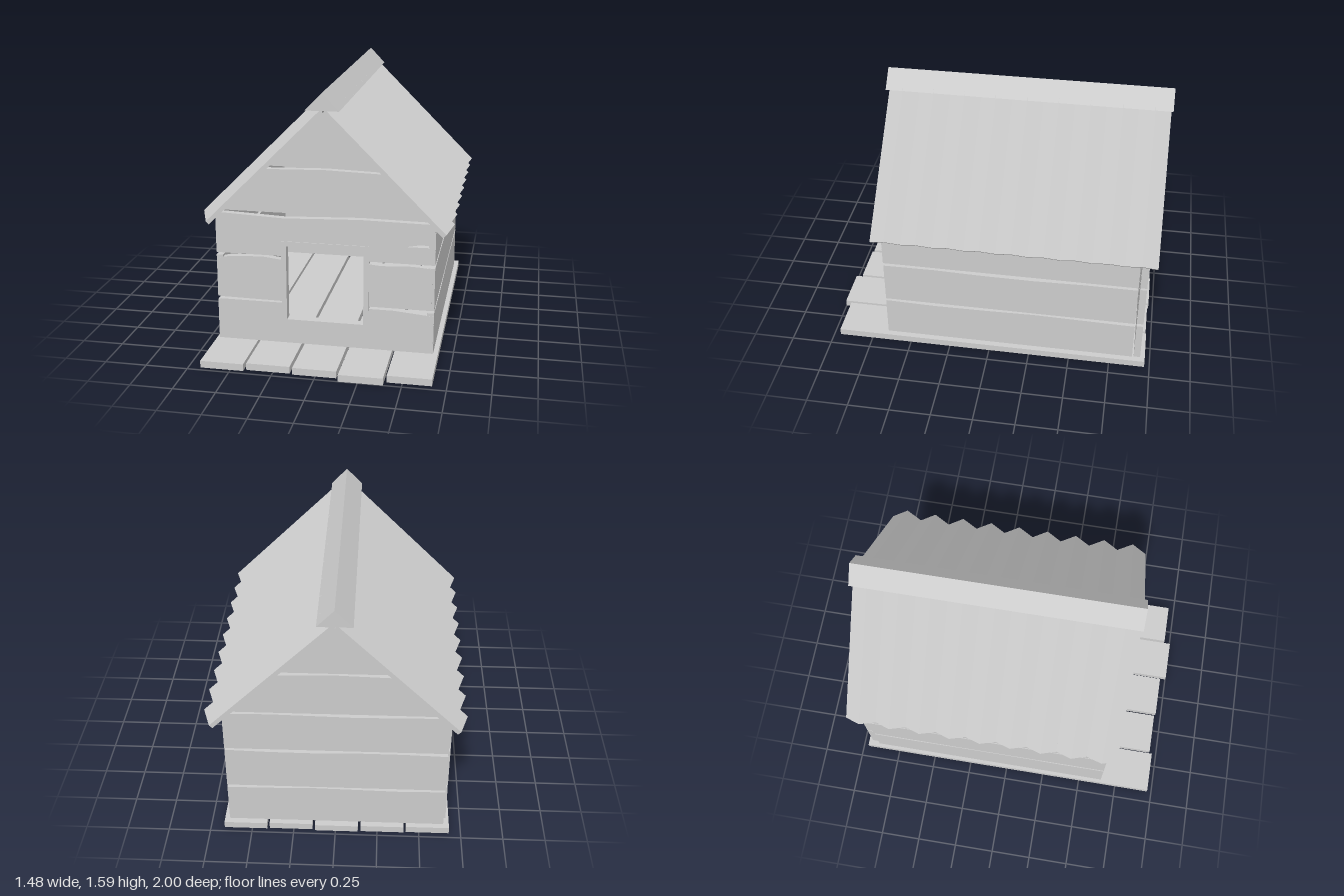
import * as THREE from 'three';

const material = new THREE.MeshStandardMaterial({ color: 0xcccccc, flatShading: true, side: THREE.DoubleSide });
const WALL = 0.04;
const ROWS = [[0.05, 0.305], [0.32, 0.582], [0.6, 0.85]]; // plank heights of the straight walls
const RIDGE = 1.475; // height where the gable slopes meet
const DOOR = { x0: -0.25, x1: 0.24, y0: 0.185, y1: 0.68 };

const shapeOf = (pts) => new THREE.Shape(pts.map(([x, y]) => new THREE.Vector2(x, y)));

function extrude(name, shape, depth) {
  const mesh = new THREE.Mesh(new THREE.ExtrudeGeometry(shape, { depth, bevelEnabled: false }), material);
  mesh.name = name;
  return mesh;
}

// Uneven, hand-sawn edge running from x0 to x1 around height y
function sawnEdge(x0, x1, y, seed) {
  const pts = [];
  for (let i = 0; i <= 5; i++) {
    const x = x0 + ((x1 - x0) * i) / 5;
    pts.push([x, y + 0.005 * Math.sin(seed * 2.3 + i * 1.7)]);
  }
  return pts;
}

function plankShape(x0, x1, y0, y1, seed) {
  return shapeOf([[x0, y0], [x1, y0], ...sawnEdge(x0, x1, y1, seed).reverse()]);
}

// The two planks that fill the gable above the straight wall
function addGable(wall) {
  const lower = [[RIDGE - 0.867, 0.867], [RIDGE - 1.13, 1.125], [0, 1.135], [1.13 - RIDGE, 1.125], [0.867 - RIDGE, 0.867]];
  const upper = [[RIDGE - 1.146, 1.146], [0, RIDGE], [1.146 - RIDGE, 1.146]];
  wall.add(extrude('gablePlank', shapeOf(lower), WALL), extrude('gableTop', shapeOf(upper), WALL));
}

function makeBackWall() {
  const wall = new THREE.Group();
  wall.name = 'backWall';
  ROWS.forEach(([y0, y1], i) => wall.add(extrude('backPlank', plankShape(-0.645, 0.637, y0, y1, i + 4), WALL)));
  addGable(wall);
  wall.position.z = -0.94;
  return wall;
}

function makeFrontWall() {
  const wall = new THREE.Group();
  wall.name = 'frontWall';
  const L = -0.645, R = 0.637, { x0, x1, y0, y1 } = DOOR;
  const [low, mid, high] = ROWS;
  // bottom plank, cut out from above
  wall.add(extrude('frontPlankLow', shapeOf([
    [L, low[0]], [R, low[0]], [R, 0.285], [0.4, low[1]], [x1, low[1]], [x1, y0], [x0, y0], [x0, low[1]], [L, low[1]],
  ]), WALL));
  // middle plank, in two pieces
  wall.add(extrude('frontPlankLeft', plankShape(x1, R - 0.012, ...mid, 1), WALL));
  wall.add(extrude('frontPlankRight', shapeOf([
    [L, mid[0]], [x0, mid[0] - 0.004], [x0, 0.575], [-0.38, 0.59], [-0.58, 0.58], [L, 0.565],
  ]), WALL));
  // top plank, cut out from below, with a split at one end
  wall.add(extrude('frontPlankHigh', shapeOf([
    [L, high[0]], [x0, high[0]], [x0, y1], [x1, y1], [x1, high[0]], [R, high[0]],
    [R, 0.705], [0.47, 0.703], [R, 0.737], [R, 0.845], [0.2, 0.85], [-0.25, 0.833], [L, 0.85],
  ]), WALL));
  addGable(wall);
  wall.position.z = 0.61;
  return wall;
}

function makeSideWall(name, x, seed) {
  const wall = new THREE.Group();
  wall.name = name;
  ROWS.forEach(([y0, y1], i) => wall.add(extrude('sidePlank', plankShape(-0.89, 0.648, y0, y1 - 0.003, seed + i), WALL)));
  wall.rotation.y = -Math.PI / 2;
  wall.position.x = x;
  return wall;
}

function makeDoorFrame() {
  const rect = (x0, x1, y0, y1) => [[x0, y0], [x1, y0], [x1, y1], [x0, y1]];
  const shape = shapeOf(rect(-0.265, 0.257, 0.172, 0.693));
  shape.holes.push(shapeOf(rect(-0.235, 0.225, 0.203, 0.664)));
  const frame = extrude('doorFrame', shape, 0.055);
  frame.position.z = 0.6;
  return frame;
}

function makeFloor() {
  const floor = new THREE.Group();
  floor.name = 'floor';
  // centre x and front end of each board
  [[-0.551, 0.97], [-0.28, 0.953], [-0.006, 0.962], [0.267, 1], [0.539, 0.96]].forEach(([x, front], i) => {
    const back = -0.965 - 0.004 * (i % 3);
    const board = new THREE.Mesh(new THREE.BoxGeometry(0.257, 0.042, front - back), material);
    board.name = 'floorBoard';
    board.position.set(x, 0.021, (front + back) / 2);
    floor.add(board);
  });
  return floor;
}

// Corrugated sheet: a zigzag section extruded down the slope
function makeRoofSheet(name, side) {
  const folds = 18, length = 1.69, rise = 0.054, thick = 0.026;
  const top = [], bottom = [];
  for (let i = 0; i <= folds; i++) {
    const u = (i / folds - 0.5) * length, v = (i % 2) * rise;
    bottom.push([u, v]);
    top.unshift([u, v + thick]);
  }
  const sheet = extrude(name, shapeOf([...bottom, ...top]), 0.967);
  const c = Math.SQRT1_2;
  const normal = new THREE.Vector3(side * c, c, 0);
  const down = new THREE.Vector3(side * c, -c, 0);
  const along = new THREE.Vector3(0, 0, -side);
  sheet.geometry.applyMatrix4(new THREE.Matrix4().makeBasis(along, normal, down));
  sheet.position.set(0, 1.47, -0.145);
  return sheet;
}

function makeRidgeCap() {
  const cap = extrude('ridgeCap', shapeOf([[-0.102, 1.488], [0.094, 1.488], [-0.003, 1.59]]), 1.71);
  cap.position.z = -1;
  return cap;
}

export function createModel() {
  const model = new THREE.Group();
  model.name = 'plankKennel';
  model.add(
    makeFloor(),
    makeFrontWall(),
    makeBackWall(),
    makeSideWall('leftWall', 0.64, 2),
    makeSideWall('rightWall', -0.62, 7),
    makeDoorFrame(),
    makeRoofSheet('leftRoof', 1),
    makeRoofSheet('rightRoof', -1),
    makeRidgeCap(),
  );
  return model;
}
